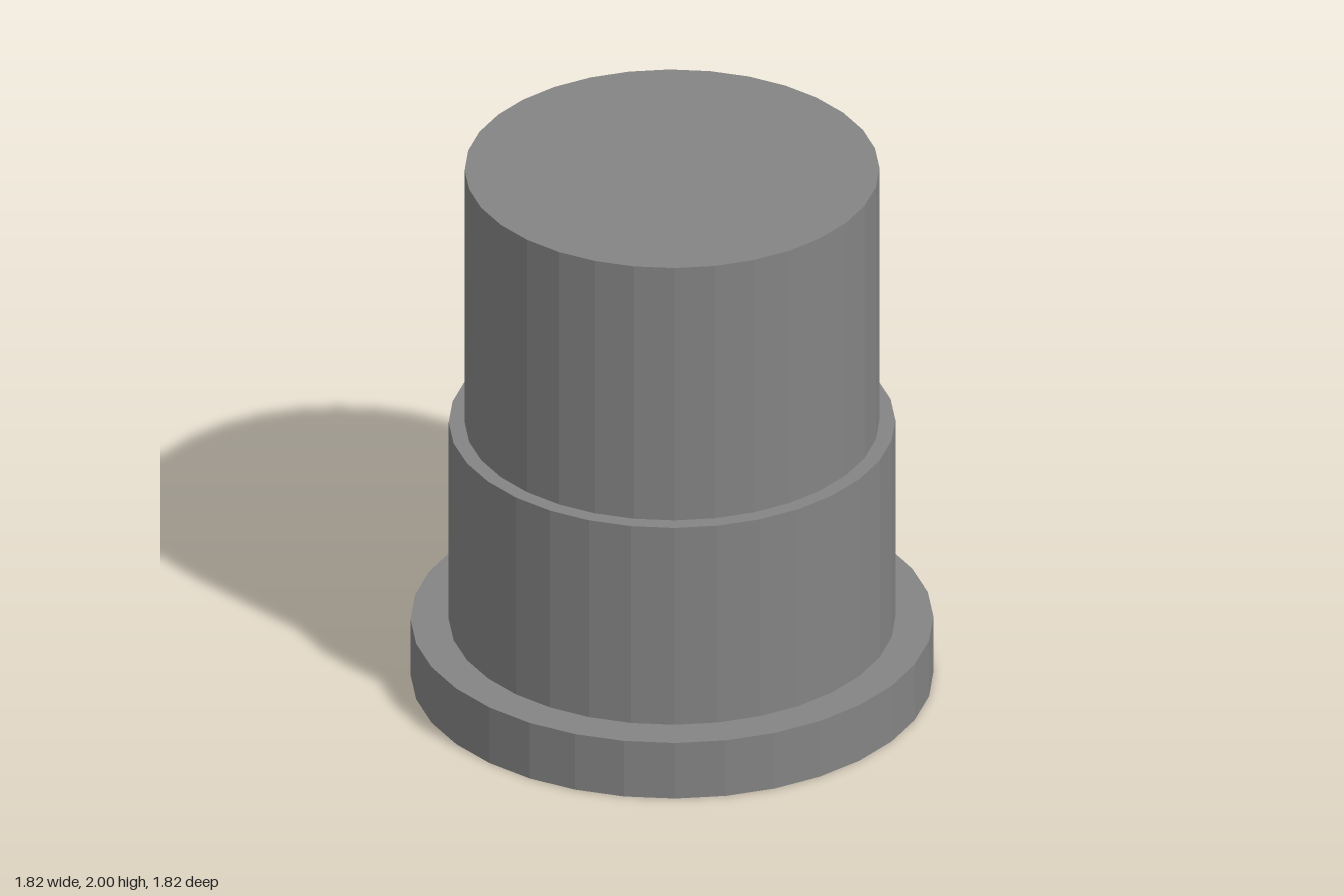
import * as THREE from 'three';

const SEGMENTS = 32;

// Stacked tiers from the ground up: name, radius, bottom, top
const TIERS = [
  ['baseFlange', 0.91, 0, 0.22],
  ['middleCollar', 0.777, 0.22, 1],
  ['upperShaft', 0.722, 1, 2],
];

export function createModel() {
  const model = new THREE.Group();
  model.name = 'steppedPlug';
  const material = new THREE.MeshStandardMaterial({ color: 0x848484, flatShading: true });

  for (const [name, radius, bottom, top] of TIERS) {
    const tier = new THREE.Mesh(
      new THREE.CylinderGeometry(radius, radius, top - bottom, SEGMENTS),
      material
    );
    tier.name = name;
    tier.position.y = (bottom + top) / 2;
    model.add(tier);
  }
  return model;
}
